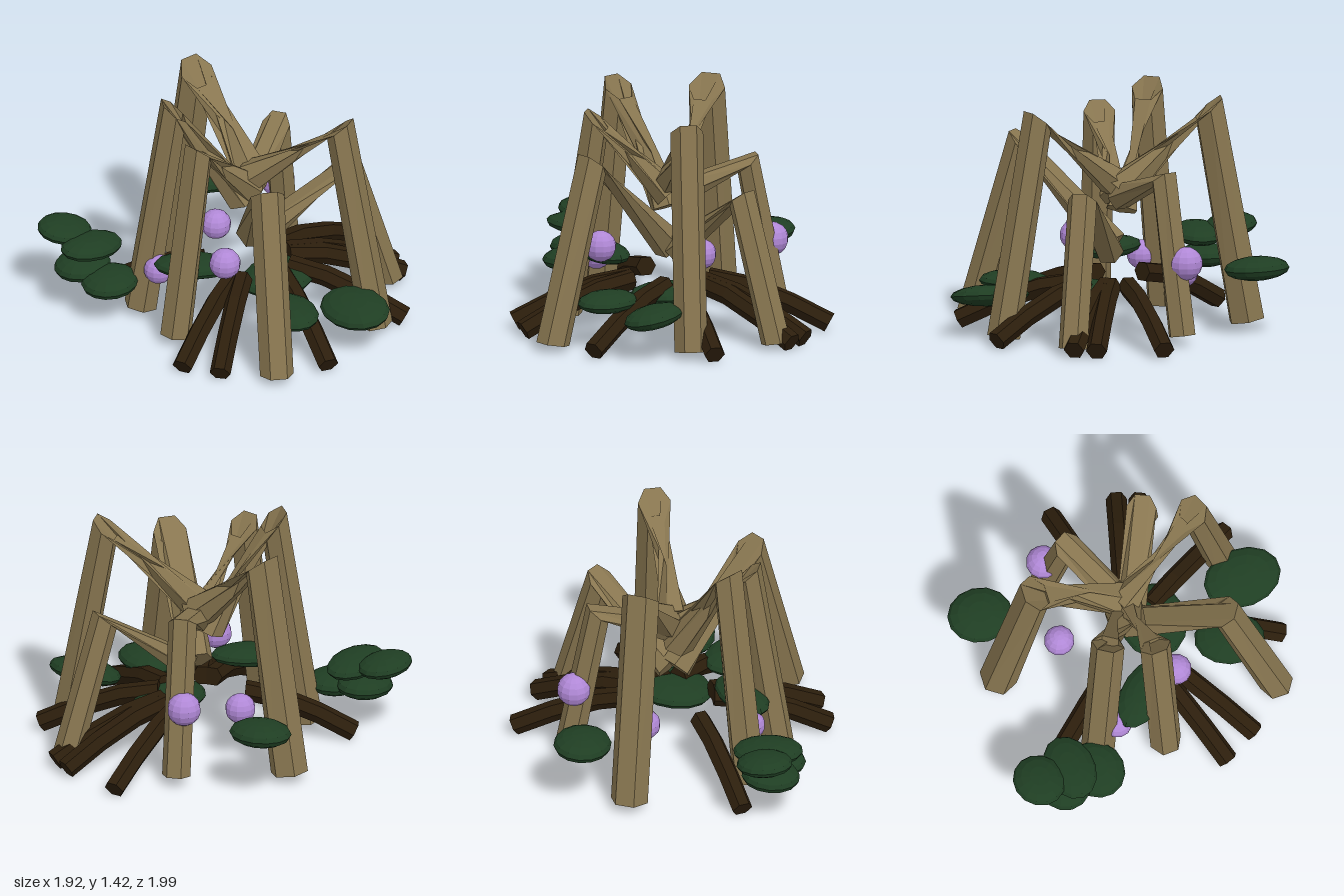
import * as THREE from 'three';

const V = (p) => new THREE.Vector3(...p);
const mat = (name, color, extra = {}) =>
  Object.assign(new THREE.MeshStandardMaterial({ color, flatShading: true, ...extra }), { name });

// Hexagonal limb through rings, running from the outer foot to the centre.
// Each ring: p = centre, n = [inward, up] facing, r = radius, twist = turn about its facing.
function limb(rings, sides = 6) {
  const inward = V(rings.at(-1).p).sub(V(rings[0].p)).setY(0).normalize();
  const up = new THREE.Vector3(0, 1, 0);
  const side = new THREE.Vector3().crossVectors(inward, up);
  const pos = [], idx = [];
  for (const { p, n, r, twist = 0 } of rings) {
    const normal = inward.clone().multiplyScalar(n[0]).addScaledVector(up, n[1]).normalize();
    const other = new THREE.Vector3().crossVectors(normal, side);
    for (let k = 0; k < sides; k++) {
      const a = (k / sides) * Math.PI * 2 + twist;
      const v = V(p).addScaledVector(side, Math.cos(a) * r).addScaledVector(other, Math.sin(a) * r);
      pos.push(v.x, v.y, v.z);
    }
  }
  const last = (rings.length - 1) * sides;
  for (let i = 0; i < last; i += sides) {
    for (let k = 0; k < sides; k++) {
      const k2 = (k + 1) % sides;
      idx.push(i + k, i + k2, i + sides + k2, i + k, i + sides + k2, i + sides + k);
    }
  }
  for (let k = 1; k < sides - 1; k++) {
    idx.push(0, k + 1, k, last, last + k, last + k + 1);
  }
  const g = new THREE.BufferGeometry();
  g.setAttribute('position', new THREE.Float32BufferAttribute(pos, 3));
  g.setIndex(idx);
  const flat = g.toNonIndexed();
  flat.computeVertexNormals();
  return flat;
}

export function createModel() {
  const model = new THREE.Group();
  const wood = mat('pale wood', 0x887650, { side: THREE.DoubleSide });
  const bark = mat('dark bark', 0x2c1e0c, { side: THREE.DoubleSide });
  const leaf = mat('dark green leaf', 0x1f3e23);
  const bloom = mat('purple berry', 0xb088d6);
  const add = (name, geometry, material) => {
    const m = new THREE.Mesh(geometry, material);
    m.name = name;
    model.add(m);
    return m;
  };

  // Bent stilts: foot, knee and hub end, radius, hub twist and hub facing
  const T = Math.PI * 2 / 3;
  const stilts = [
    ['backStilt', [0.04, 0.05, -0.775], [0.04, 1.325, -0.55], [0.04, 0.85, -0.03], 0.113, T, [0.6, -0.8]],
    ['backRightStilt', [-0.56, 0.05, -0.34], [-0.40, 1.365, -0.23], [-0.03, 0.71, -0.04], 0.10, T, [0.4, -0.9]],
    ['rightStilt', [-0.62, 0.05, 0.06], [-0.44, 1.225, 0.05], [0.0, 0.80, 0.0], 0.095, T, [0.7, -0.7]],
    ['frontRightStilt', [-0.45, 0.04, 0.79], [-0.30, 1.085, 0.52], [0.0, 0.50, 0.02], 0.10, 0, [0.75, -0.66]],
    ['backLeftStilt', [0.55, 0.06, -0.34], [0.40, 0.97, -0.25], [0.03, 0.80, -0.02], 0.085, 0, [0.95, -0.3]],
    ['frontLeftStilt', [0.38, 0.04, 0.70], [0.28, 1.315, 0.49], [0.01, 0.88, 0.0], 0.098, T, [0.7, -0.7]],
    ['leftStilt', [0.78, 0.04, 0.33], [0.54, 0.88, 0.25], [0.05, 0.48, 0.04], 0.088, 0, [0.85, -0.5]],
  ];
  for (const [name, foot, knee, hub, r, twist, facing] of stilts) {
    add(name, limb([
      { p: foot, n: [0.17, 0.98], r },
      { p: knee, n: [0.66, 0.75], r },
      { p: hub, n: facing, r, twist },
    ]), wood);
  }

  // Low roots arching from near the middle to the ground: end x, end z, start x, start z
  const roots = [[0.93, -0.195, 0.23, -0.05], [0.92, 0.205, 0.23, 0.05], [0.88, 0.335, 0.22, 0.08],
    [0.55, 0.76, 0.14, 0.19], [-0.155, 0.91, 0.05, 0.22], [-0.71, 0.58, -0.18, 0.14],
    [-0.835, 0.38, -0.21, 0.09], [-0.625, -0.67, -0.21, -0.18]];
  const arch = [[0, 0.05, 0.88, 0.47], [0.33, 0.165, 0.9, 0.43], [0.69, 0.26, 0.95, 0.3], [1, 0.3, 1, 0.08]];
  for (const [x, z, sx, sz] of roots) {
    add('root', limb(arch.map(([t, y, a, b]) => (
      { p: [x + (sx - x) * t, y, z + (sz - z) * t], n: [a, b], r: 0.062 }
    ))), bark);
  }

  // Flattened leaf pads: centre, radii, tilt x, turn y, tilt z
  const pads = [
    [[0.32, 0.41, -0.805], [0.17, 0.07, 0.195], 0.05, 0, 0.05],
    [[-0.79, 0.46, -0.765], [0.168, 0.06, 0.155], 0.1, 0, -0.1],
    [[-0.75, 0.42, -0.565], [0.21, 0.06, 0.15], 0, 0.1, -0.08],
    [[-0.78, 0.28, -0.61], [0.175, 0.07, 0.16], 0, 0, 0.05],
    [[-0.745, 0.25, -0.40], [0.18, 0.07, 0.165], 0, 0.3, 0.05],
    [[-0.42, 0.41, -0.02], [0.235, 0.06, 0.13], 0, -0.75, 0],
    [[0.06, 0.245, 0.18], [0.235, 0.065, 0.2], 0, 0, 0.05],
    [[-0.18, 0.27, 0.58], [0.165, 0.06, 0.21], 0, -0.25, 0],
    [[0.17, 0.25, 0.76], [0.175, 0.065, 0.235], 0, 0.1, 0.2],
  ];
  const padShape = new THREE.SphereGeometry(1, 14, 8);
  for (const [p, s, rx, ry, rz] of pads) {
    const m = add('leafPad', padShape, leaf);
    m.position.set(...p);
    m.scale.set(...s);
    m.rotation.set(rx, ry, rz);
  }

  // Round berries
  const berries = [[0.51, 0.485, -0.365, 0.1], [-0.36, 0.50, 0.20, 0.093],
    [0.06, 0.345, -0.395, 0.09], [-0.53, 0.34, -0.21, 0.088]];
  for (const [x, y, z, r] of berries) {
    add('berry', new THREE.SphereGeometry(r, 12, 9), bloom).position.set(x, y, z);
  }
  return model;
}
